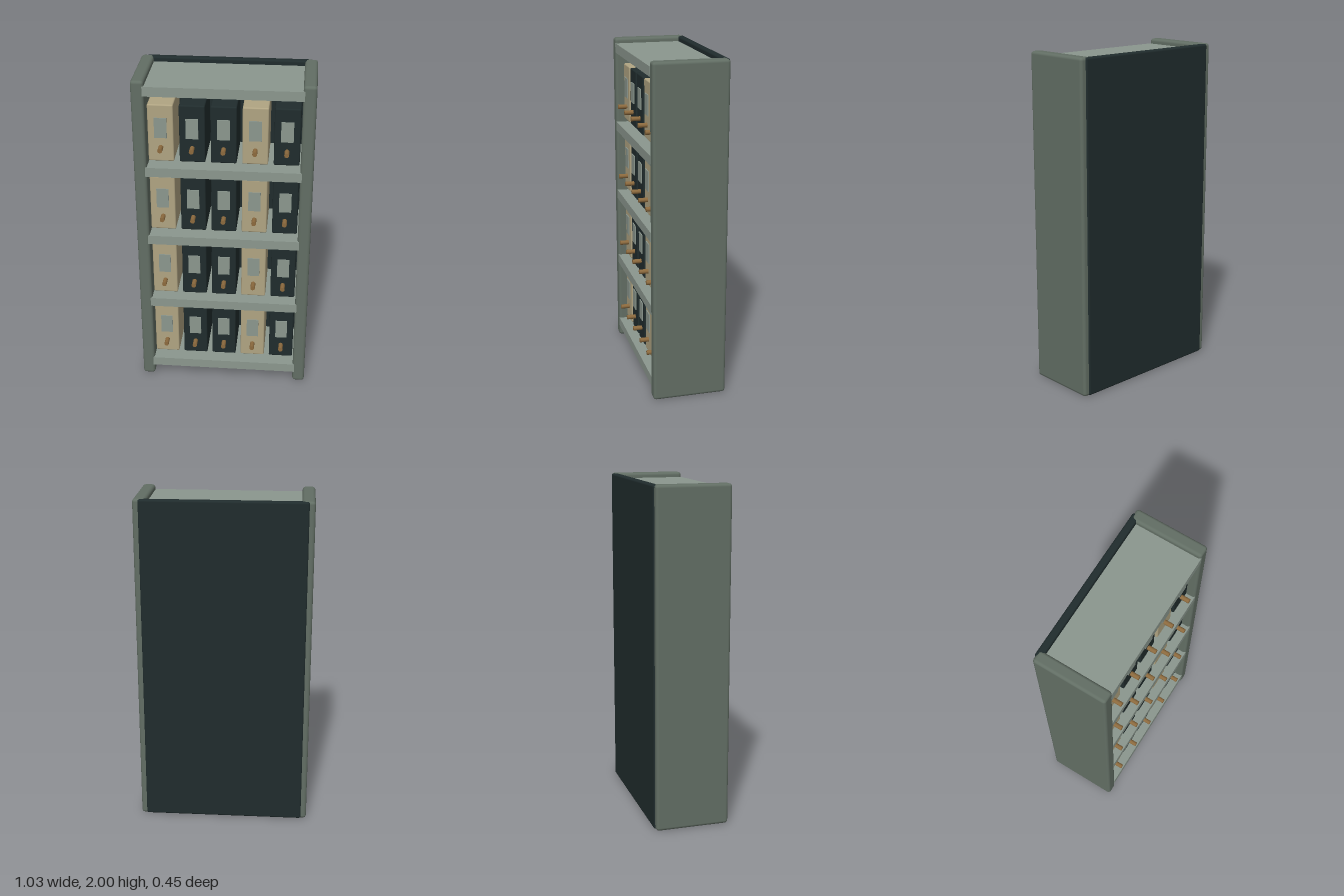
import * as THREE from 'three';
import { RoundedBoxGeometry } from 'three/addons/geometries/RoundedBoxGeometry.js';

function material(name, color) {
  const m = new THREE.MeshStandardMaterial({ color });
  m.name = name;
  return m;
}

export function createModel() {
  const frameGreen = material('frame grey green', 0x626e64);
  const shelfGrey = material('pale grey green', 0x8b978e);
  const darkTeal = material('dark teal', 0x202c2d);
  const cream = material('cream', 0xb0a482);
  const bronze = material('bronze', 0x8c6a3e);

  const model = new THREE.Group();
  model.name = 'binderShelf';

  const add = (parent, name, geometry, mat, x, y, z) => {
    const mesh = new THREE.Mesh(geometry, mat);
    mesh.name = name;
    mesh.position.set(x, y, z);
    parent.add(mesh);
    return mesh;
  };

  // Upright side panels with softened edges
  const sideGeometry = new RoundedBoxGeometry(0.075, 2, 0.44, 2, 0.018);
  add(model, 'leftSide', sideGeometry, frameGreen, 0.478, 1, 0);
  add(model, 'rightSide', sideGeometry, frameGreen, -0.478, 1, 0);

  // Back panel, standing slightly proud of the sides
  add(model, 'backPanel', new RoundedBoxGeometry(0.966, 1.996, 0.043, 2, 0.012), darkTeal, 0, 1, -0.2055);

  // Five shelves
  const shelfGeometry = new THREE.BoxGeometry(0.9, 0.057, 0.41);
  [0.096, 0.55, 0.995, 1.445, 1.94].forEach((y) => add(model, 'shelf', shelfGeometry, shelfGrey, 0, y, 0.014));

  // Binders: case, label plate and pull knob
  const caseGeometry = new RoundedBoxGeometry(0.148, 0.348, 0.3, 2, 0.008);
  const labelGeometry = new THREE.BoxGeometry(0.072, 0.122, 0.008);
  const knobGeometry = new THREE.CylinderGeometry(0.014, 0.014, 0.055, 12).rotateX(Math.PI / 2);
  const coverColours = [cream, darkTeal, darkTeal, cream, darkTeal];

  for (let row = 0; row < 4; row++) {
    coverColours.forEach((cover, column) => {
      const binder = new THREE.Group();
      binder.name = 'binder';
      binder.position.set((column - 2) * 0.18, 0.326 + row * 0.4485, 0);
      add(binder, 'binderCase', caseGeometry, cover, 0, 0, 0.02);
      add(binder, 'binderLabel', labelGeometry, shelfGrey, 0, 0.034, 0.172);
      add(binder, 'binderKnob', knobGeometry, bronze, 0, -0.086, 0.1975);
      model.add(binder);
    });
  }

  return model;
}
